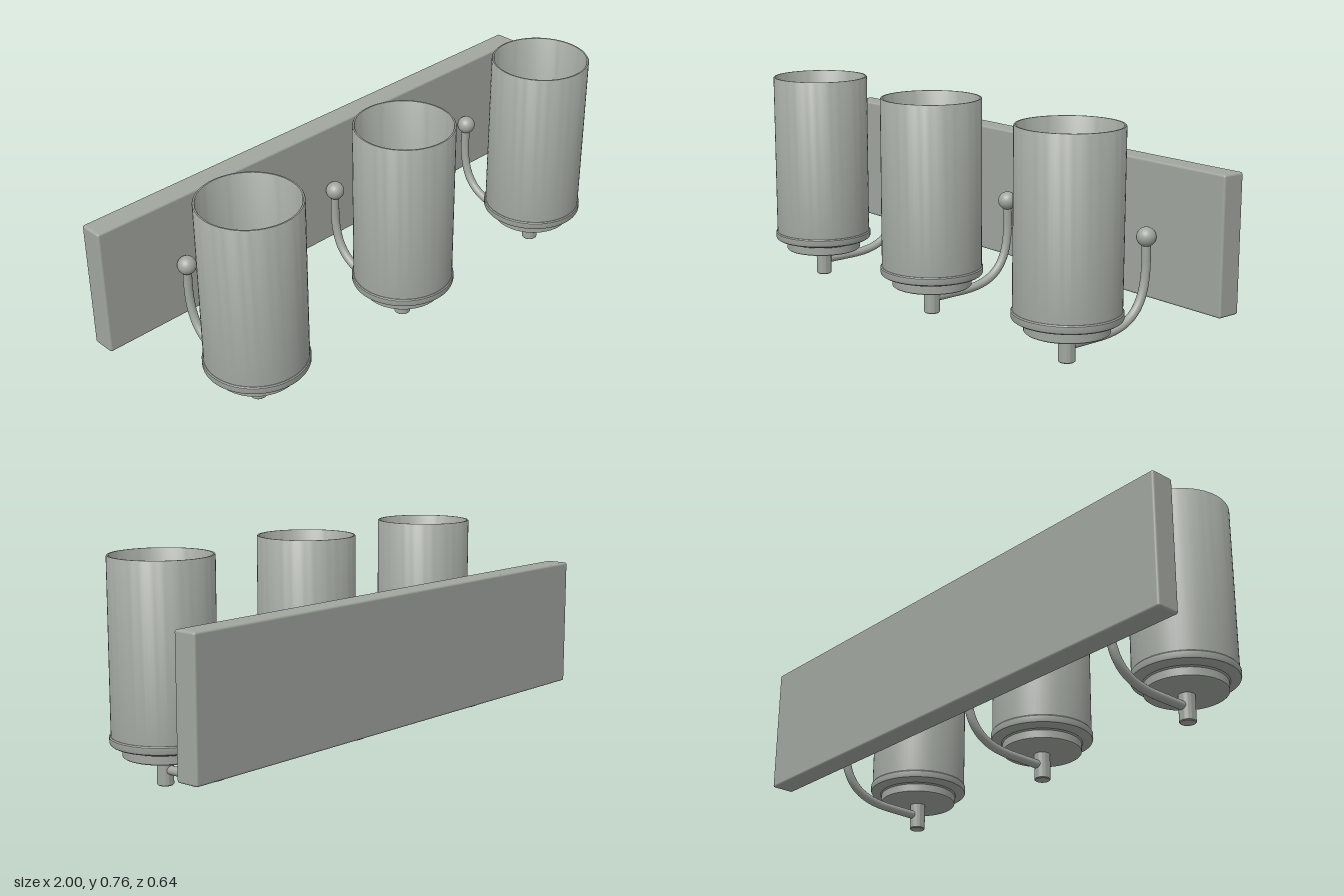
import * as THREE from 'three';
import { RoundedBoxGeometry } from 'three/addons/geometries/RoundedBoxGeometry.js';
import { toCreasedNormals } from 'three/addons/utils/BufferGeometryUtils.js';

const metal = new THREE.MeshStandardMaterial({ color: 0xa1a69f });
metal.name = 'satin grey';

function part(name, geometry, parent) {
  const mesh = new THREE.Mesh(geometry, metal);
  mesh.name = name;
  parent.add(mesh);
  return mesh;
}

// Revolved profile of [radius, y] pairs, listed from bottom to top on the outside
function turned(profile) {
  const points = profile.map(([r, y]) => new THREE.Vector2(r, y));
  return toCreasedNormals(new THREE.LatheGeometry(points, 64), 0.6);
}

function createLamp() {
  const lamp = new THREE.Group();
  lamp.name = 'lamp';

  // Everything turned about the vertical shade axis
  const holder = new THREE.Group();
  holder.name = 'lampHolder';
  holder.position.z = 0.14;
  lamp.add(holder);

  part('stem', turned([[0, 0], [0.025, 0], [0.028, 0.003], [0.028, 0.1], [0, 0.1]]), holder);
  part('cup', turned([
    [0, 0.095], [0.03, 0.095], [0.11, 0.1], [0.135, 0.101], [0.139, 0.104],
    [0.139, 0.132], [0.143, 0.137], [0.172, 0.142], [0.178, 0.146],
    [0.18, 0.151], [0.18, 0.169], [0.177, 0.173], [0, 0.173],
  ]), holder);
  part('shade', turned([
    [0.175, 0.165], [0.175, 0.761], [0.173, 0.764], [0.168, 0.764],
    [0.166, 0.761], [0.166, 0.174], [0, 0.174],
  ]), holder);

  // Bulb with a narrow neck
  const bulb = [[0.04, 0.174], [0.04, 0.23], [0.046, 0.26], [0.06, 0.3]];
  for (let i = 0; i <= 16; i++) {
    const a = -0.6 + (i / 16) * (Math.PI / 2 + 0.6);
    bulb.push([Math.max(0, 0.086 * Math.cos(a)), 0.38 + 0.086 * Math.sin(a)]);
  }
  part('bulb', turned(bulb), holder);

  // Curved arm from the stem to the wall plate
  const path = new THREE.CurvePath();
  const v = (y, z) => new THREE.Vector3(0, y, z);
  path.add(new THREE.LineCurve3(v(0.053, 0.125), v(0.055, 0)));
  path.add(new THREE.CubicBezierCurve3(v(0.055, 0), v(0.058, -0.15), v(0.12, -0.21), v(0.28, -0.208)));
  path.add(new THREE.LineCurve3(v(0.28, -0.208), v(0.345, -0.207)));
  part('arm', new THREE.TubeGeometry(path, 64, 0.0155, 20), lamp);
  part('armBall', new THREE.SphereGeometry(0.033, 32, 20), lamp).position.set(0, 0.355, -0.206);
  return lamp;
}

export function createModel() {
  const model = new THREE.Group();
  model.name = 'wallLight';

  const plate = part('wallPlate', new RoundedBoxGeometry(2, 0.464, 0.086, 3, 0.008), model);
  plate.position.set(0, 0.372, -0.277);

  for (const x of [-0.685, -0.003, 0.697]) {
    const lamp = createLamp();
    lamp.position.x = x;
    model.add(lamp);
  }
  return model;
}
